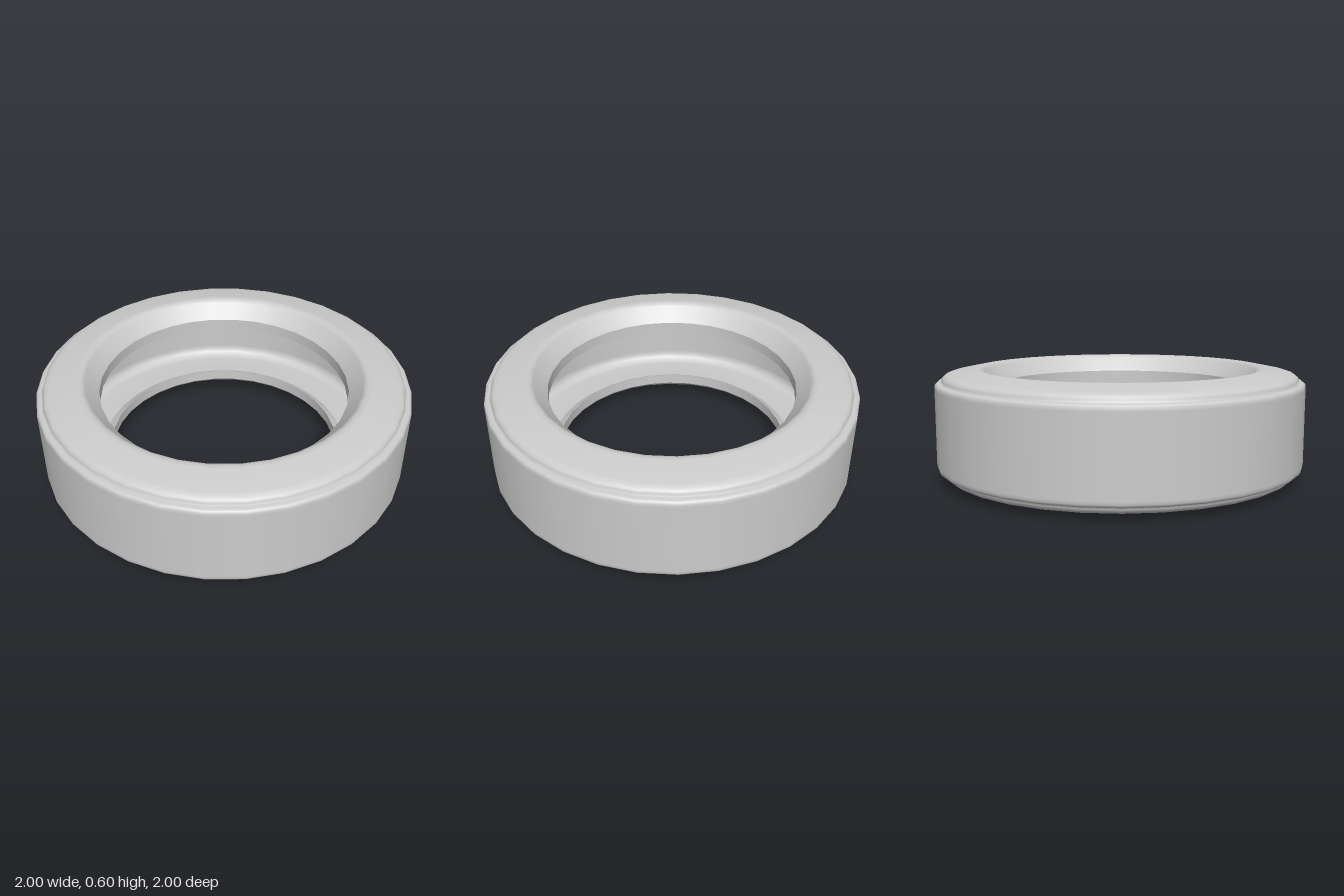
import * as THREE from 'three';

const HEIGHT = 0.6;
const SEGMENTS = 32;
const BOTTOM_LIP = 0.63; // hole radius below
const TOP_LIP = 0.67;    // hole radius above

const material = new THREE.MeshStandardMaterial({ color: 0xcccccc });

// Outer half profile [radius, depth from the side plane], lip to tread
const outerHalf = (lip) => [
  [lip, 0.095], [lip + 0.01, 0.082], [0.74, 0.016], [0.75, 0.007], [0.765, 0.002], [0.79, 0.001],
  [0.92, 0.026], [0.942, 0.032], [0.957, 0.042], [0.963, 0.055], [0.965, 0.066],
  [0.971, 0.069], [0.984, 0.069], [0.994, 0.074], [1, 0.085], [1, 0.1],
];

// Inner half profile, lip to the inside of the tread
const innerHalf = (lip) => [
  [lip, 0.155], [lip + 0.012, 0.15], [lip + 0.045, 0.122], [lip + 0.06, 0.115],
  [0.84, 0.11], [0.87, 0.116], [0.89, 0.132], [0.9, 0.155], [0.9, 0.175],
];

// Joins a bottom half and a mirrored top half into one rising profile
function fullProfile(half) {
  const top = half(TOP_LIP).map(([r, d]) => [r, HEIGHT - d]).reverse();
  return [...half(BOTTOM_LIP), ...top];
}

// Revolves a profile; rising profiles face outwards, falling ones inwards
function ring(name, profile) {
  const points = profile.map(([r, y]) => new THREE.Vector2(r, y));
  const mesh = new THREE.Mesh(new THREE.LatheGeometry(points, SEGMENTS), material);
  mesh.name = name;
  return mesh;
}

export function createModel() {
  const tire = new THREE.Group();
  tire.name = 'tire';

  // Tread with stepped shoulders and both sidewalls
  tire.add(ring('treadAndSidewalls', fullProfile(outerHalf)));

  // Hollow inside
  tire.add(ring('innerLiner', fullProfile(innerHalf).reverse()));

  // Sharp-edged rims of the two holes
  tire.add(ring('bottomLip', [[BOTTOM_LIP, 0.155], [BOTTOM_LIP, 0.095]]));
  tire.add(ring('topLip', [[TOP_LIP, HEIGHT - 0.095], [TOP_LIP, HEIGHT - 0.155]]));

  return tire;
}
